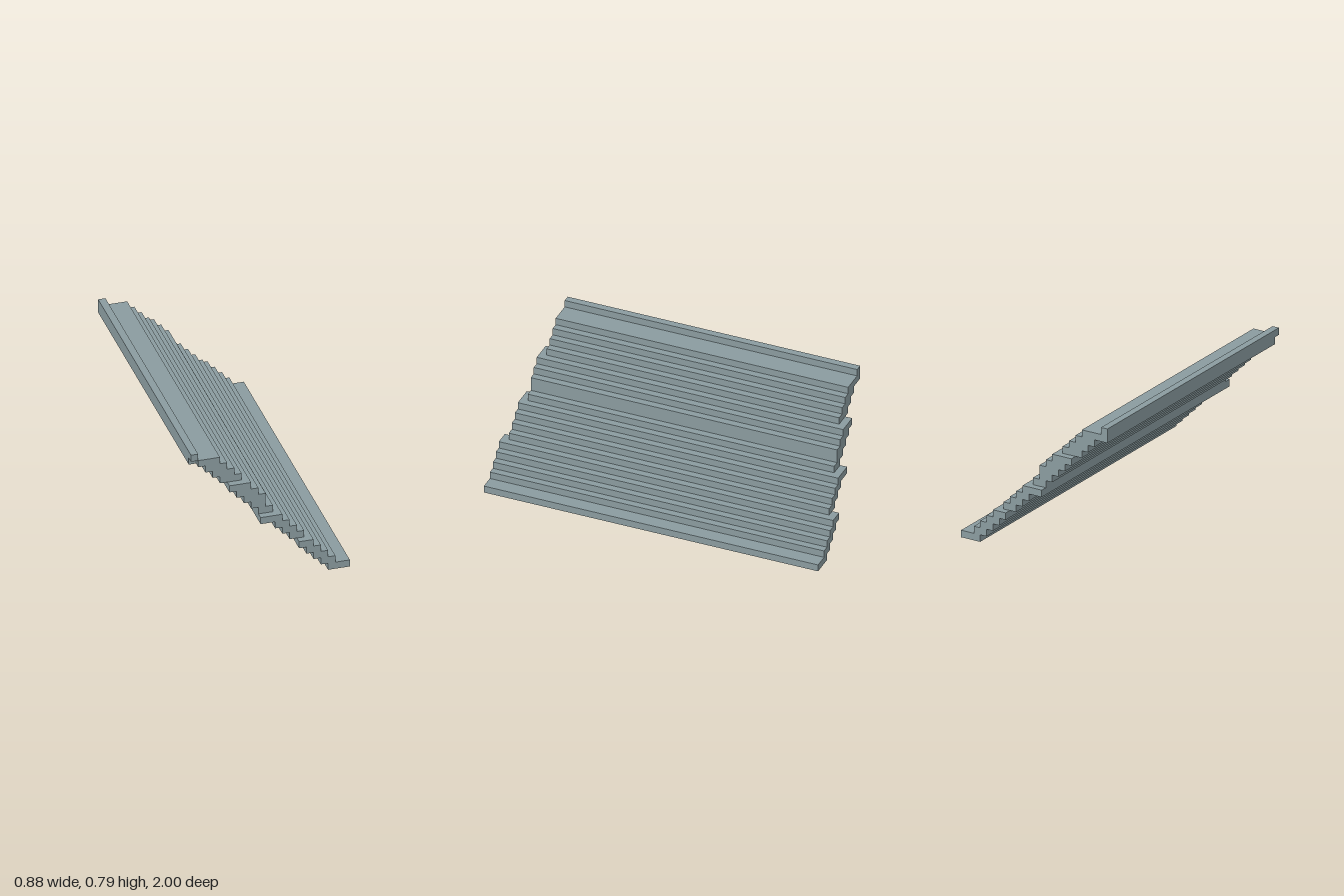
import * as THREE from 'three';

const U = 1 / 24; // one step unit
const X0 = -10.5; // left end, in units

// Each flight: first row, half width in z, and [left, right] of every row (units)
const FLIGHTS = [
  { name: 'bottomFlight', row: 0, half: 24, spans: [[18, 21], [17, 19], [16, 18], [15, 17], [14, 16]] },
  { name: 'lowerFlight', row: 5, half: 23, spans: [[13, 15], [12, 14], [11, 13], [9, 12]] },
  { name: 'middleFlight', row: 9, half: 22, spans: [[9, 11], [8, 10], [7, 10], [6, 9], [5, 8]] },
  { name: 'topFlight', row: 14, half: 21, spans: [[4, 7], [3, 6], [2, 5], [1, 4]] },
];

export function createModel() {
  const group = new THREE.Group();
  const stone = new THREE.MeshStandardMaterial({ color: 0x8a9b9f });
  stone.name = 'greyStone';

  // Stepped outline of a flight: up the right edges, down the left edges
  function flightGeometry({ row, half, spans }) {
    const right = [], left = [];
    spans.forEach(([l, r], i) => {
      for (const y of [row + i, row + i + 1]) {
        right.push([r, y]);
        left.unshift([l, y]);
      }
    });
    const outline = [...right, ...left]
      .filter((p, i, a) => i === 0 || p[0] !== a[i - 1][0] || p[1] !== a[i - 1][1])
      .map(([x, y]) => new THREE.Vector2((x + X0) * U, y * U));
    const geometry = new THREE.ExtrudeGeometry(new THREE.Shape(outline), {
      depth: 2 * half * U, bevelEnabled: false,
    });
    return geometry.translate(0, 0, -half * U);
  }

  for (const flight of FLIGHTS) {
    const mesh = new THREE.Mesh(flightGeometry(flight), stone);
    mesh.name = flight.name;
    group.add(mesh);
  }

  // Raised lip at the head of the stairs and the edge block beneath it
  function bar(name, row, zBack, zFront) {
    const mesh = new THREE.Mesh(new THREE.BoxGeometry(U, U, (zFront - zBack) * U), stone);
    mesh.position.set((X0 + 0.5) * U, (row + 0.5) * U, (zBack + zFront) / 2 * U);
    mesh.name = name;
    group.add(mesh);
  }
  bar('landingEdge', 17, -21, 20);
  bar('topLip', 18, -21, 21);

  return group;
}
